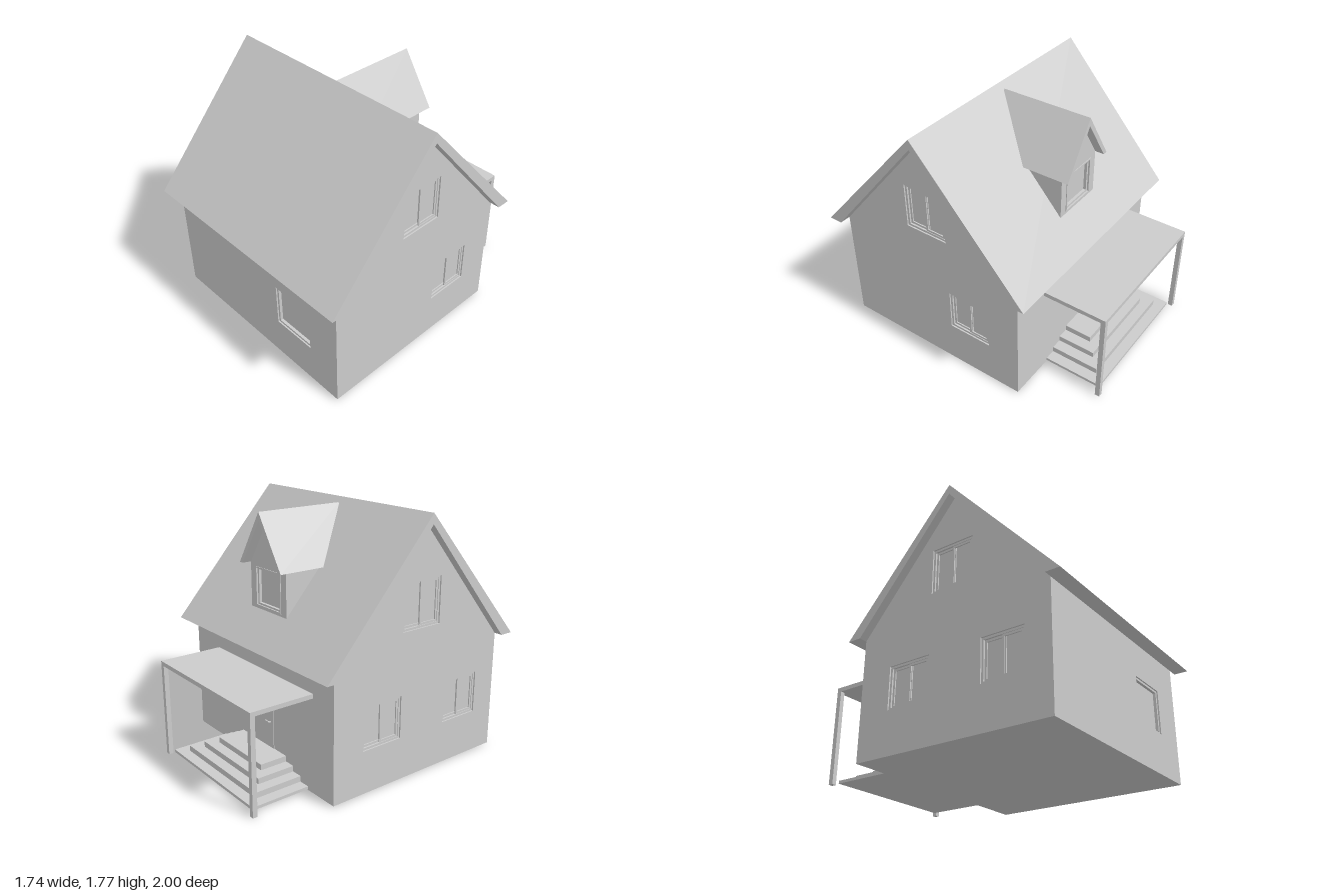
import * as THREE from 'three';

const mat = new THREE.MeshStandardMaterial({ color: 0xcccccc });

function add(parent, name, geometry) {
  const mesh = new THREE.Mesh(geometry, mat);
  mesh.name = name;
  parent.add(mesh);
  return mesh;
}

// Box given by its minimum and maximum on each axis
function box(parent, name, [x0, x1], [y0, y1], [z0, z1]) {
  const g = new THREE.BoxGeometry(x1 - x0, y1 - y0, z1 - z0);
  g.translate((x0 + x1) / 2, (y0 + y1) / 2, (z0 + z1) / 2);
  return add(parent, name, g);
}

// Flat outline with rectangular holes [u0, u1, v0, v1], extruded along +z
function slab(points, holes, depth) {
  const shape = new THREE.Shape(points.map(([u, v]) => new THREE.Vector2(u, v)));
  for (const [u0, u1, v0, v1] of holes) {
    const corners = [[u0, v0], [u0, v1], [u1, v1], [u1, v0]];
    shape.holes.push(new THREE.Path(corners.map(([u, v]) => new THREE.Vector2(u, v))));
  }
  return new THREE.ExtrudeGeometry(shape, { depth, bevelEnabled: false });
}

// Same, drawn in (z, y) with its outer face at x = xMax
const sideSlab = (points, holes, depth, xMax) =>
  slab(points, holes, depth).rotateY(-Math.PI / 2).translate(xMax, 0, 0);

const rect = (u0, u1, v0, v1) => [[u0, v0], [u1, v0], [u1, v1], [u0, v1]];

// Recessed window facing local +z, wall surface at z = 0
function makeWindow(name, w, h, sliding) {
  const win = new THREE.Group();
  win.name = name;
  const f = 0.015, x = w / 2, y = h / 2;
  add(win, 'windowFrame', slab(rect(-x, x, -y, y),
    [[-x + f, x - f, -y + f, y - f]], 0.02).translate(0, 0, -0.03));
  box(win, 'windowPane', [-x, x], [-y, y], [-0.05, -0.03]);
  if (sliding) {
    // Two sashes, one sliding in front of the other
    const sash = (u0, u1, z) => add(win, 'sash', slab(rect(u0, u1, -y + f, y - f),
      [[u0 + f, u1 - f, -y + 2 * f, y - 2 * f]], 0.008).translate(0, 0, z));
    sash(-x + f, 0.01, -0.03);
    sash(-0.01, x - f, -0.022);
  }
  return win;
}

export function createModel() {
  const house = new THREE.Group();
  house.name = 'house';
  const T = 0.03;

  // Gable walls, drawn in (z, y)
  const gable = [[-0.54, 0.01], [0.9, 0.01], [0.9, 0.85], [0.18, 1.70], [-0.54, 0.85]];
  const upper = [0.015, 0.335, 1.03, 1.35];
  const lower = [-0.305, 0.015, 0.31, 0.605];
  const extra = [0.41, 0.72, 0.31, 0.605];
  for (const [side, xMax, xOut, holes] of [
    ['left', 0.79, 0.79, [upper, lower]],
    ['right', -0.81 + T, -0.81, [upper, lower, extra]],
  ]) {
    add(house, side + 'GableWall', sideSlab(gable, holes, T, xMax));
    for (const [z0, z1, y0, y1] of holes) {
      const win = makeWindow(side + 'Window', z1 - z0, y1 - y0, true);
      win.rotation.y = Math.sign(xOut) * Math.PI / 2;
      win.position.set(xOut, (y0 + y1) / 2, (z0 + z1) / 2);
      house.add(win);
    }
  }

  // Long walls and floor
  const wallX = [-0.78, 0.76];
  add(house, 'frontWall', slab(rect(...wallX, 0.01, 0.86),
    [[0.215, 0.54, 0.295, 0.605]], T).translate(0, 0, 0.87));
  const frontWindow = makeWindow('frontWindow', 0.325, 0.31, false);
  frontWindow.position.set(0.3775, 0.45, 0.9);
  house.add(frontWindow);
  box(house, 'backWall', wallX, [0.01, 0.86], [-0.54, -0.54 + T]);
  box(house, 'floor', wallX, [0.01, 0.03], [-0.51, 0.87]);

  // Main roof
  add(house, 'mainRoof', sideSlab([[1, 0.85], [0.18, 1.77], [-0.64, 0.85],
    [-0.54, 0.85], [0.18, 1.70], [0.9, 0.85]], [], 1.74, 0.87));

  // Dormer on the back slope
  const dormer = new THREE.Group();
  dormer.name = 'dormer';
  dormer.position.x = -0.012;
  house.add(dormer);
  add(dormer, 'dormerWalls', slab([[-0.2, 1.05], [0.2, 1.05], [0.2, 1.37], [0, 1.676], [-0.2, 1.37]],
    [[-0.137, 0.137, 1.085, 1.345]], 0.53).translate(0, 0, -0.45));
  add(dormer, 'dormerRoof', slab([[0.235, 1.37], [0, 1.735], [-0.235, 1.37],
    [-0.2, 1.37], [0, 1.676], [0.2, 1.37]], [], 0.655).translate(0, 0, -0.515));
  const dormerWindow = makeWindow('dormerWindow', 0.274, 0.26, false);
  dormerWindow.rotation.y = Math.PI;
  dormerWindow.position.set(0, 1.215, -0.45);
  dormer.add(dormerWindow);
  add(dormer, 'dormerWindowTrim', slab(rect(-0.142, 0.142, 1.08, 1.35),
    [[-0.132, 0.132, 1.09, 1.34]], 0.01).translate(0, 0, -0.455));

  // Back door with lever handle
  box(house, 'door', [-0.175, 0.045], [0.15, 0.56], [-0.544, -0.53]);
  box(house, 'handleStem', [-0.148, -0.14], [0.341, 0.349], [-0.56, -0.54]);
  box(house, 'handleLever', [-0.148, -0.1], [0.341, 0.349], [-0.564, -0.556]);

  // Porch canopy and posts
  box(house, 'canopy', [-0.605, 0.5], [0.665, 0.695], [-1, -0.54]);
  for (const x of [-0.605, 0.468]) {
    box(house, 'porchPost', [x, x + 0.032], [0, 0.665], [-1, -0.966]);
  }

  // Steps, narrowing on three sides
  const tops = [0.035, 0.075, 0.115, 0.155], fronts = [-0.965, -0.89, -0.815, -0.74];
  tops.forEach((top, i) => {
    box(house, 'step', [-0.55 + 0.08 * i, 0.445 - 0.08 * i],
      [i ? tops[i - 1] : 0.015, top], [fronts[i], -0.54]);
  });

  return house;
}
